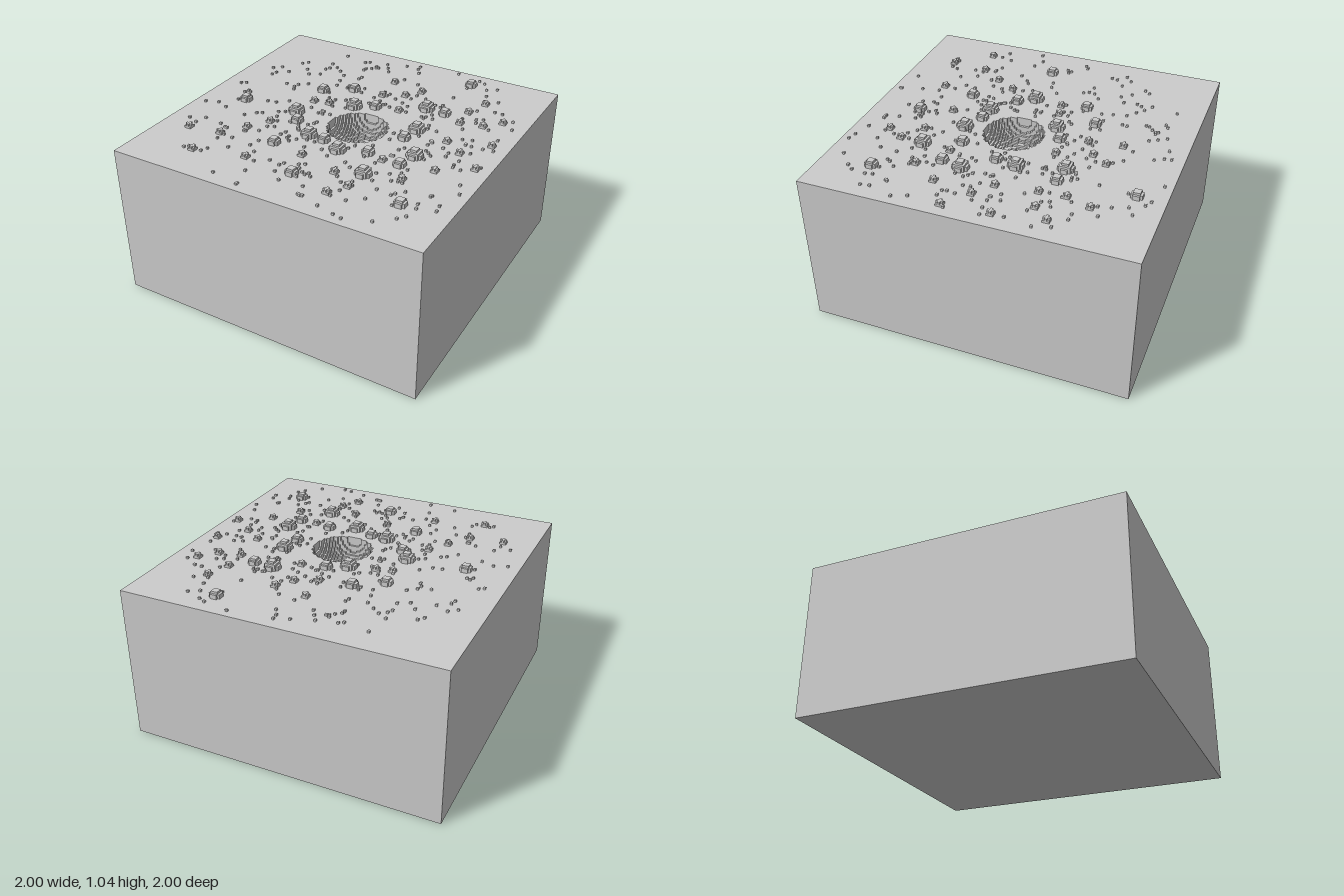
import * as THREE from 'three';
import { mergeGeometries } from 'three/addons/utils/BufferGeometryUtils.js';

const V = 0.01375;          // voxel size
const GROUND = 0.99;        // ground level
const CRATER = { x: 0.09, z: 0.045, size: 27 };

// rock centres as x, z pairs, by width in voxels
const ROCKS = {
  large: { size: 7, at: [.35, -.38, -.06, -.18, -.34, .06, -.11, .28, .13, .35, .42, -.10, .55, .19, .39, .51] },
  medium: {
    size: 5,
    at: [.46, -.83, -.18, -.39, .48, -.37, -.35, -.28, .06, -.24, -.71, .08, -.27, .16, 0, .29,
      .30, .29, .40, .03, .52, .32, -.24, .46, .04, .70, .71, .68],
  },
  small: {
    size: 3,
    at: [0, -.62, .22, -.58, .15, -.48, .02, -.41, .65, -.62, .60, -.47, .84, -.44, .75, -.34,
      .61, -.31, .21, -.27, -.32, -.12, -.22, -.14, .64, -.06, .89, -.14, .76, .03, .91, .15,
      .72, .28, .41, .32, .60, .45, -.41, .25, -.49, .38, -.59, .52, -.80, .55, -.02, .50,
      .24, .57, .38, .66, -.29, .68, .31, .77, -.61, .76],
  },
};

// Stepped half ball of voxels: sign +1 is a dome, -1 is a bowl set in a square
function voxelHalfBall(size, sign) {
  const n = (size - 1) / 2, r2 = size * size / 4, pos = [];
  const height = (i, j) => {
    const rest = r2 - i * i - j * j;
    return rest < 0 ? 0 : sign * (Math.floor(Math.sqrt(rest)) + 1);
  };
  const quad = (a, b, c, d) => {
    for (const p of [a, b, c, a, c, d]) pos.push(p[0] * V, p[1] * V, p[2] * V);
  };
  for (let i = -n - 1; i <= n + 1; i++) {
    for (let j = -n - 1; j <= n + 1; j++) {
      const h = height(i, j);
      const inside = Math.abs(i) <= n && Math.abs(j) <= n;
      // level step
      if (inside && (h !== 0 || sign < 0)) {
        quad([i - .5, h, j + .5], [i + .5, h, j + .5], [i + .5, h, j - .5], [i - .5, h, j - .5]);
      }
      // risers down to lower neighbours
      for (const [dx, dz] of [[1, 0], [-1, 0], [0, 1], [0, -1]]) {
        const low = height(i + dx, j + dz);
        if (low >= h) continue;
        const x = i + dx / 2, z = j + dz / 2, tx = dz / 2, tz = -dx / 2;
        quad([x - tx, low, z - tz], [x + tx, low, z + tz], [x + tx, h, z + tz], [x - tx, h, z - tz]);
      }
    }
  }
  const geo = new THREE.BufferGeometry();
  geo.setAttribute('position', new THREE.Float32BufferAttribute(pos, 3));
  geo.computeVertexNormals();
  return geo;
}

// Small seeded generator
function seeded(seed) {
  return () => {
    seed = (seed * 1664525 + 1013904223) % 4294967296;
    return seed / 4294967296;
  };
}

// Pebbles thrown out around the crater
function scatterPebbles(count) {
  const rand = seeded(7), at = [];
  while (at.length < count * 2) {
    const a = rand() * Math.PI * 2, r = 0.23 + 0.82 * Math.pow(rand(), 0.85);
    const x = CRATER.x + r * Math.cos(a), z = CRATER.z + r * Math.sin(a);
    if (Math.abs(x) < 0.95 && Math.abs(z) < 0.95) at.push(x, z);
  }
  return at;
}

export function createModel() {
  const group = new THREE.Group();
  const material = new THREE.MeshStandardMaterial({ color: 0xcccccc, flatShading: true });
  const add = (name, geo) => {
    const mesh = new THREE.Mesh(geo, material);
    mesh.name = name;
    group.add(mesh);
    return mesh;
  };

  // ground block sides and underside (top face removed)
  const block = new THREE.BoxGeometry(2, GROUND, 2);
  block.setIndex(Array.from(block.index.array).filter((_, k) => k < 12 || k >= 18));
  block.clearGroups();
  add('groundBlock', block).position.y = GROUND / 2;

  // ground surface with a square opening for the crater
  const square = (path, cx, cy, h) => path.setFromPoints(
    [[-h, -h], [h, -h], [h, h], [-h, h]].map(([x, y]) => new THREE.Vector2(cx + x, cy + y)));
  const top = square(new THREE.Shape(), 0, 0, 1);
  top.holes.push(square(new THREE.Path(), CRATER.x, -CRATER.z, CRATER.size * V / 2));
  add('groundSurface', new THREE.ShapeGeometry(top).rotateX(-Math.PI / 2)).position.y = GROUND;

  // stepped crater bowl
  add('crater', voxelHalfBall(CRATER.size, -1)).position.set(CRATER.x, GROUND, CRATER.z);

  // ejected rocks and pebbles
  const kinds = { ...ROCKS, pebble: { size: 1, at: scatterPebbles(300) } };
  for (const [kind, { size, at }] of Object.entries(kinds)) {
    const rock = voxelHalfBall(size, 1), parts = [];
    for (let k = 0; k < at.length; k += 2) {
      parts.push(rock.clone().translate(at[k], GROUND, at[k + 1]));
    }
    add(kind === 'pebble' ? 'pebbles' : kind + 'Rocks', mergeGeometries(parts));
  }
  return group;
}
